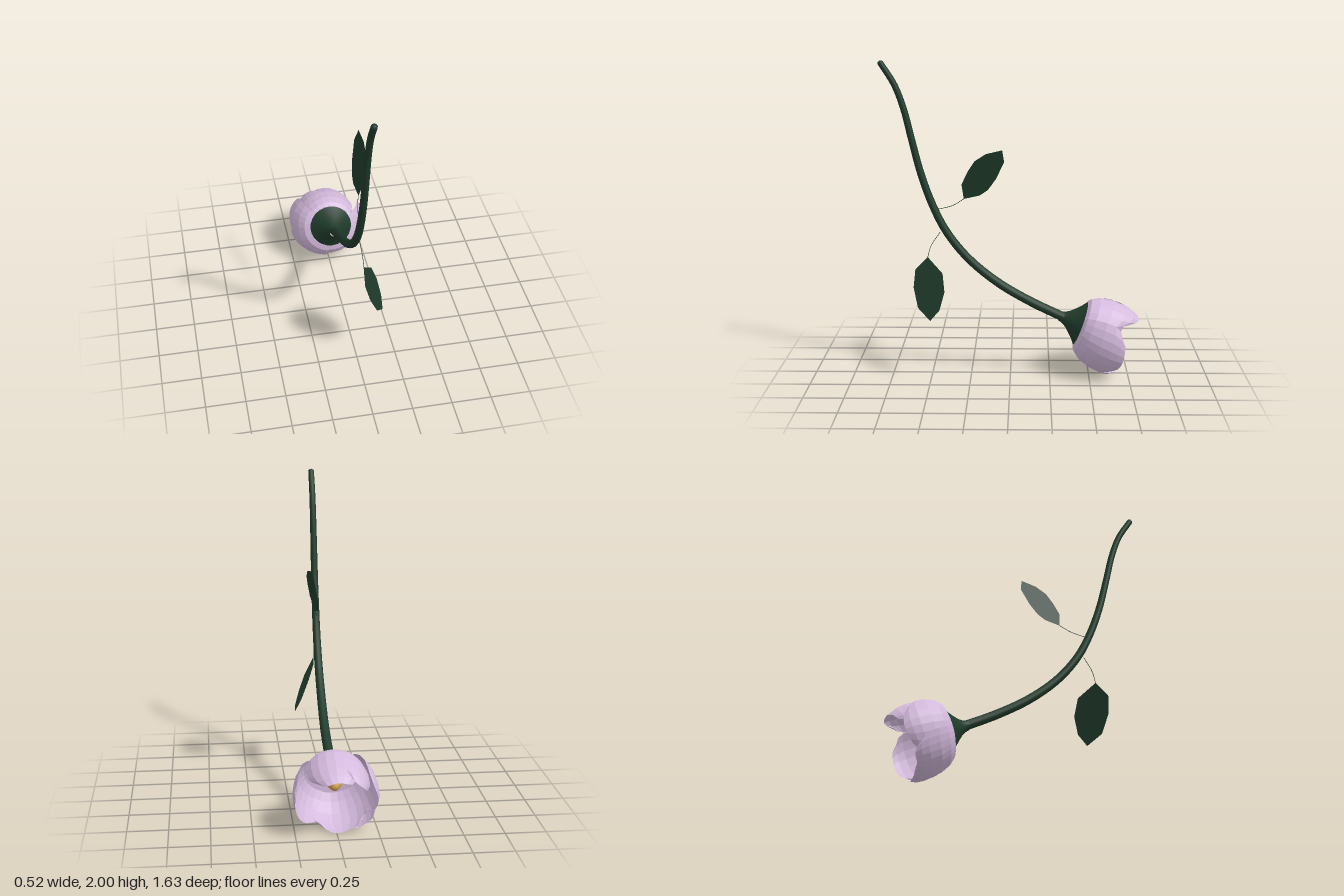
import * as THREE from 'three';

const green = new THREE.MeshStandardMaterial({ color: 0x1f3a2a, side: THREE.DoubleSide });
green.name = 'stem green';
const lilac = new THREE.MeshStandardMaterial({ color: 0xd4badd, side: THREE.DoubleSide, flatShading: true });
lilac.name = 'petal lilac';
const gold = new THREE.MeshStandardMaterial({ color: 0xd0a24c });
gold.name = 'pistil gold';

const add = (parent, name, geometry, material) => {
  const mesh = new THREE.Mesh(geometry, material);
  mesh.name = name;
  parent.add(mesh);
  return mesh;
};
const path = (pts) => new THREE.CatmullRomCurve3(pts.map((p) => new THREE.Vector3(...p)));

// Tube whose radius changes evenly from r0 to r1
function taperedTube(curve, r0, r1, segments, sides) {
  const geo = new THREE.TubeGeometry(curve, segments, 1, sides);
  const pos = geo.attributes.position, v = new THREE.Vector3();
  for (let i = 0; i < pos.count; i++) {
    const t = Math.floor(i / (sides + 1)) / segments;
    const c = curve.getPointAt(t);
    v.fromBufferAttribute(pos, i).sub(c).multiplyScalar(r0 + (r1 - r0) * t).add(c);
    pos.setXYZ(i, v.x, v.y, v.z);
  }
  return geo;
}

// Flat leaf from a [z, y] outline, tilted by a rule giving x
function leafGeometry(outline, xAt) {
  const geo = new THREE.ShapeGeometry(new THREE.Shape(outline.map((p) => new THREE.Vector2(...p))));
  const pos = geo.attributes.position;
  for (let i = 0; i < pos.count; i++) {
    const z = pos.getX(i), y = pos.getY(i);
    pos.setXYZ(i, xAt(z, y), y, z);
  }
  geo.computeVertexNormals();
  return geo;
}

// Cupped petal: rows follow the bowl profile (height, radius, width), columns sweep around the axis
function petalGeometry({ angle, half, height, size, flare }) {
  const rows = [[0, 0.03, 0.95], [0, 0.14, 0.97], [0.05, 0.175, 1], [0.2, 0.208, 1],
    [0.45, 0.233, 1], [0.7, 0.239, 0.97], [0.87, 0.234, 0.87], [1, 0.222, 0.68]];
  const cols = 8, positions = [], index = [];
  rows.forEach(([t, r, w], j) => {
    for (let i = 0; i <= cols; i++) {
      const u = (i / cols) * 2 - 1;
      const a = THREE.MathUtils.degToRad(angle + u * half * w);
      const droop = t * t * (0.17 * u ** 4 + 0.015 * Math.sin(u * 5 + angle));
      const radius = (r + flare * t) * size * (1 - 0.04 * t * u * u);
      positions.push(radius * Math.sin(a), height * (t - droop), radius * Math.cos(a));
      if (i < cols && j < rows.length - 1) {
        const k = j * (cols + 1) + i, n = k + cols + 1;
        index.push(k, k + 1, n, k + 1, n + 1, n);
      }
    }
  });
  const geo = new THREE.BufferGeometry();
  geo.setAttribute('position', new THREE.Float32BufferAttribute(positions, 3));
  geo.setIndex(index);
  geo.computeVertexNormals();
  return geo;
}

export function createModel() {
  const model = new THREE.Group();
  model.name = 'flower';

  // Curved stem, thickening toward the bloom and ending inside the calyx
  const stem = path([[0.02, 1.987, 0.797], [0.02, 1.85, 0.712], [0.02, 1.7, 0.657], [0.02, 1.52, 0.613],
    [0.02, 1.3, 0.557], [0.02, 1.1, 0.486], [0.02, 0.93, 0.4], [0.02, 0.76, 0.265], [0.02, 0.605, 0.08],
    [0.02, 0.485, -0.12], [0.015, 0.405, -0.28], [0.008, 0.367, -0.36], [0.005, 0.345, -0.42]]);
  add(model, 'stem', taperedTube(stem, 0.019, 0.031, 64, 12), green);
  add(model, 'stemTip', new THREE.SphereGeometry(0.019, 12, 8), green).position.set(0.02, 1.981, 0.793);

  // Leaves on thin stalks
  const upper = [[0.29, 1.145], [0.302, 1.24], [0.265, 1.32], [0.22, 1.39], [0.15, 1.435], [0.05, 1.457],
    [0.038, 1.38], [0.09, 1.27], [0.14, 1.2], [0.19, 1.165]];
  const lower = [[0.52, 0.77], [0.6, 0.69], [0.61, 0.58], [0.58, 0.46], [0.5, 0.39], [0.44, 0.46],
    [0.41, 0.57], [0.423, 0.68]];
  add(model, 'upperLeaf', leafGeometry(upper, (z, y) => 0.033 + 0.29 * (y - 1.2) + 0.18 * (z - 0.14)), green);
  add(model, 'lowerLeaf', leafGeometry(lower, (z, y) => 0.04 + 0.32 * (0.76 - y) - 0.4 * (z - 0.51)), green);
  const upperStalk = path([[0.02, 1.07, 0.475], [0.025, 1.1, 0.36], [0.043, 1.145, 0.29]]);
  const lowerStalk = path([[0.02, 0.93, 0.44], [0.03, 0.84, 0.5], [0.035, 0.77, 0.52]]);
  add(model, 'upperStalk', new THREE.TubeGeometry(upperStalk, 8, 0.0018, 5), green);
  add(model, 'lowerStalk', new THREE.TubeGeometry(lowerStalk, 8, 0.0018, 5), green);

  // Bloom, hanging with its axis pointing backward and slightly down
  const bloom = new THREE.Group();
  bloom.name = 'bloom';
  bloom.position.set(0.005, 0.335, -0.445);
  bloom.rotation.x = -1.918;
  model.add(bloom);

  // Flared calyx, closed by the petal bases
  const calyx = [[0.03, -0.14], [0.036, -0.115], [0.054, -0.085], [0.081, -0.055], [0.111, -0.025],
    [0.142, 0]].map((p) => new THREE.Vector2(...p));
  add(bloom, 'calyx', new THREE.LatheGeometry(calyx, 24), green);

  // Overlapping petals around the axis; the lower ones open wider
  [
    { angle: 2, half: 59, height: 0.33, size: 0.97, flare: -0.045 },
    { angle: 111, half: 49, height: 0.3, size: 1, flare: 0.03 },
    { angle: -170, half: 48, height: 0.3, size: 1.02, flare: 0.018 },
    { angle: -90, half: 44, height: 0.305, size: 1.03, flare: 0.012 },
    { angle: -46, half: 34, height: 0.325, size: 0.93, flare: -0.015 },
    { angle: -136, half: 36, height: 0.29, size: 1.04, flare: 0.03 },
  ].forEach((p, i) => add(bloom, `petal${i + 1}`, petalGeometry(p), lilac));

  // Central pistil
  const pistil = add(bloom, 'pistil', new THREE.SphereGeometry(1, 14, 10), gold);
  pistil.scale.set(0.05, 0.1, 0.05);
  pistil.position.set(0, 0.075, -0.01);

  return model;
}
